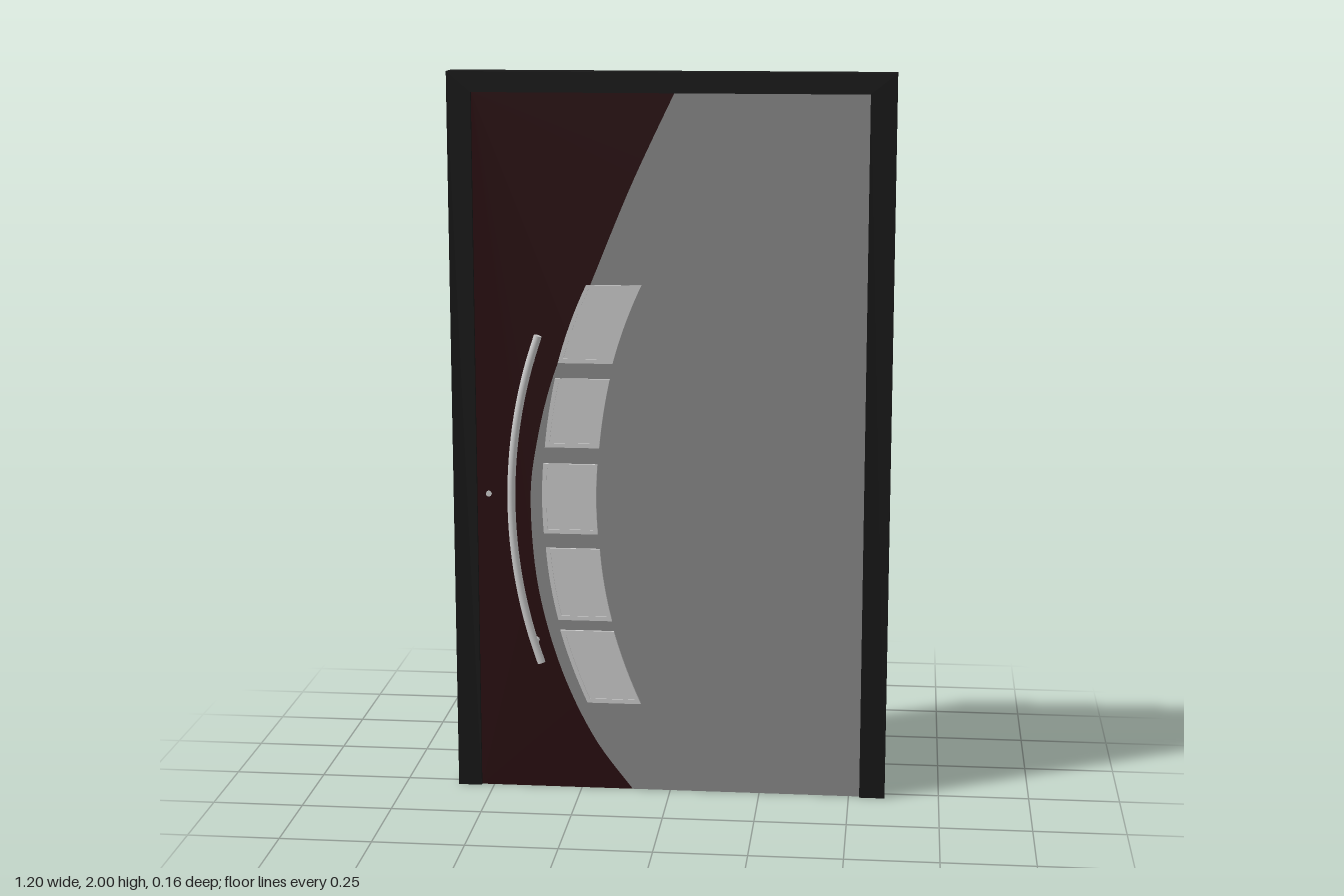
import * as THREE from 'three';

const V2 = (x, y) => new THREE.Vector2(x, y);
const V3 = (x, y, z) => new THREE.Vector3(x, y, z);

export function createModel() {
  const door = new THREE.Group();
  door.name = 'door';

  const mat = (color) => new THREE.MeshStandardMaterial({ color });
  const black = mat(0x171717), darkRed = mat(0x290e10), panelGrey = mat(0x888888), metal = mat(0xcccccc);

  const add = (name, geometry, material, x = 0, y = 0, z = 0) => {
    const mesh = new THREE.Mesh(geometry, material);
    mesh.name = name;
    mesh.position.set(x, y, z);
    door.add(mesh);
    return mesh;
  };
  // Slab of the given thickness, centred on z = 0
  const slab = (shape, thickness) =>
    new THREE.ExtrudeGeometry(shape, { depth: thickness, bevelEnabled: false })
      .translate(0, 0, -thickness / 2);

  // Outer frame: two jambs and a lintel
  const L = -0.535, R = 0.53, TOP = 1.945, DEPTH = 0.075;
  const frame = new THREE.Shape([
    V2(-0.6, 0), V2(L, 0), V2(L, TOP), V2(R, TOP), V2(R, 0), V2(0.6, 0), V2(0.6, 2), V2(-0.6, 2),
  ]);
  add('frame', slab(frame, DEPTH), black);

  // Door leaf: two panels meeting along a sweeping curve
  const sweep = new THREE.SplineCurve([
    V2(-0.106, 0), V2(-0.215, 0.15), V2(-0.307, 0.35), V2(-0.368, 0.58), V2(-0.387, 0.81),
    V2(-0.372, 0.97), V2(-0.32, 1.18), V2(-0.217, 1.43), V2(-0.105, 1.7), V2(0.011, TOP),
  ]).getPoints(60);
  add('lightPanel', slab(new THREE.Shape([...sweep, V2(R, TOP), V2(R, 0)]), 0.056), panelGrey);
  add('darkPanel', slab(new THREE.Shape([...sweep, V2(L, TOP), V2(L, 0)]), 0.056), darkRed);

  // Windows following the sweep: [top y, bottom y, left x at top / middle / bottom]
  const windows = [
    [1.43, 1.215, -0.228, -0.273, -0.307],
    [1.172, 0.98, -0.315, -0.333, -0.345],
    [0.934, 0.737, -0.35, -0.354, -0.35],
    [0.695, 0.49, -0.345, -0.333, -0.312],
    [0.46, 0.252, -0.307, -0.274, -0.232],
  ];
  const WIDTH = 0.15;
  const outline = ([top, bottom, xt, xm, xb], inset) => {
    const left = [], right = [];
    for (let i = 0; i <= 8; i++) {
      const y = THREE.MathUtils.lerp(bottom + inset, top - inset, i / 8);
      const t = (top - y) / (top - bottom);
      const x = xt * (1 - t) * (1 - 2 * t) + xm * 4 * t * (1 - t) + xb * t * (2 * t - 1);
      left.push(V2(x + inset, y));
      right.push(V2(x + WIDTH - inset, y));
    }
    return [...right, ...left.reverse()];
  };
  windows.forEach((w, i) => {
    const trim = new THREE.Shape(outline(w, 0));
    trim.holes.push(new THREE.Path(outline(w, 0.012)));
    add(`windowTrim${i + 1}`, slab(trim, 0.07), metal);
    add(`windowPane${i + 1}`, slab(new THREE.Shape(outline(w, 0.012)), 0.064), metal);
  });

  // Bowed pull handle on each side, with capped ends and two standoffs
  const MID = 0.835, HALF = 0.46, RADIUS = 1.39, TUBE = 0.011;
  const bowX = (y) => -0.434 + RADIUS - Math.sqrt(RADIUS ** 2 - (y - MID) ** 2);
  const bow = [];
  for (let i = 0; i <= 12; i++) {
    const y = MID - HALF + (2 * HALF * i) / 12;
    bow.push(V3(bowX(y), y, 0));
  }
  const bowCurve = new THREE.CatmullRomCurve3(bow);
  for (const side of [1, -1]) {
    const name = side > 0 ? 'front' : 'back';
    const z = side * 0.067;
    add(`${name}Handle`, new THREE.TubeGeometry(bowCurve, 40, TUBE, 14), metal, 0, 0, z);
    for (const end of [0, 1]) {
      const p = bowCurve.getPoint(end);
      const dir = bowCurve.getTangent(end).multiplyScalar(end ? 1 : -1);
      const cap = add(`${name}HandleCap`, new THREE.CircleGeometry(TUBE, 14), metal, p.x, p.y, z);
      cap.quaternion.setFromUnitVectors(V3(0, 0, 1), dir);
    }
    for (const y of [0.43, 1.22]) {
      const post = new THREE.CylinderGeometry(0.008, 0.008, 0.045, 12).rotateX(Math.PI / 2);
      add(`${name}HandlePost`, post, metal, bowX(y), y, side * 0.045);
    }
  }

  // Small lock cylinder through the dark panel
  add('lockCylinder', new THREE.CylinderGeometry(0.008, 0.008, 0.066, 16).rotateX(Math.PI / 2), metal, -0.503, 0.845, 0);

  return door;
}
